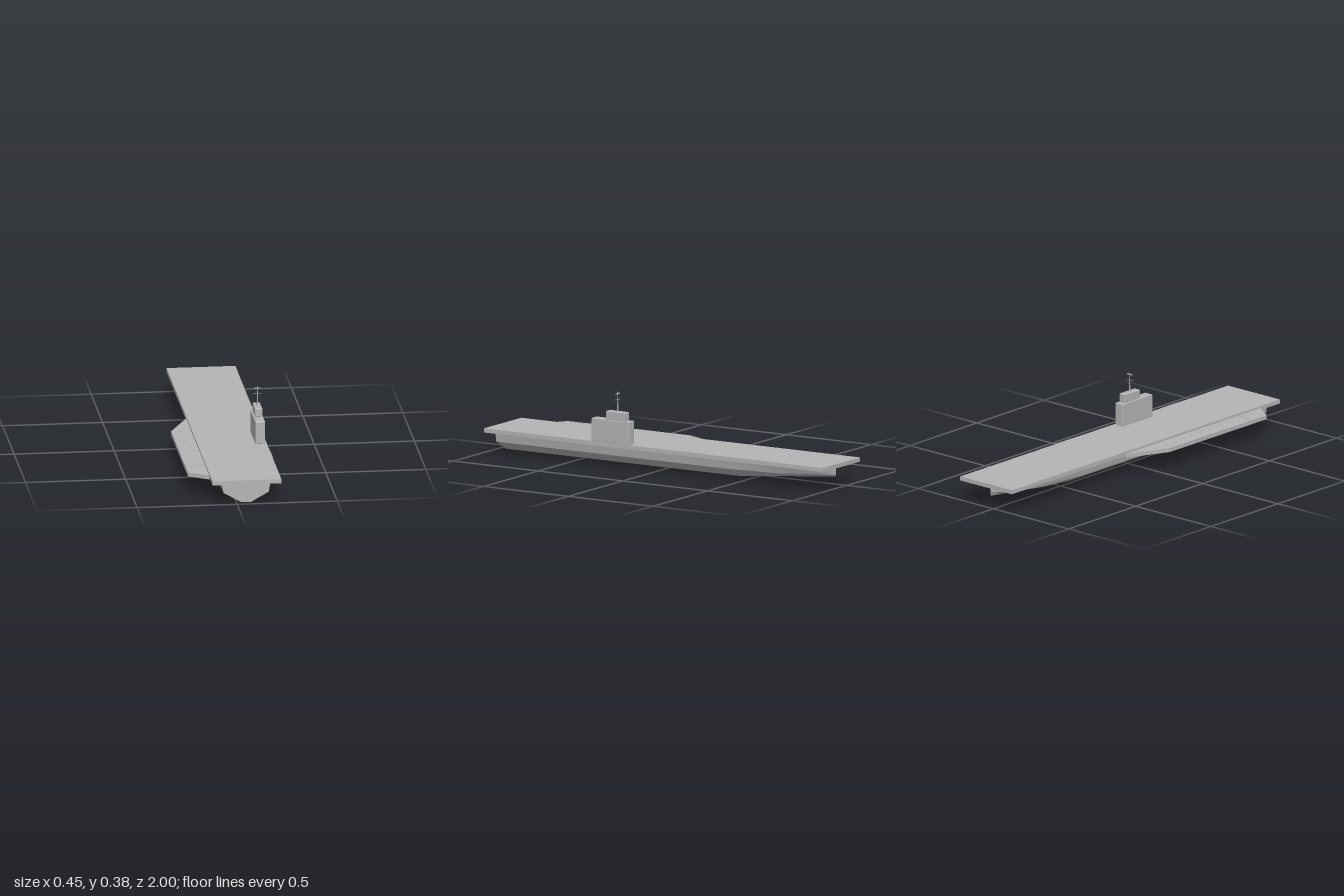
import * as THREE from 'three';
import { RoundedBoxGeometry } from 'three/addons/geometries/RoundedBoxGeometry.js';

const grey = new THREE.MeshStandardMaterial({ color: 0xb4b4b4 });
grey.name = 'navalGrey';

function add(group, name, geometry) {
  const mesh = new THREE.Mesh(geometry, grey);
  mesh.name = name;
  group.add(mesh);
  return mesh;
}

// Box given by its limits on each axis, optionally with rounded edges
function block(group, name, [x0, x1], [y0, y1], [z0, z1], radius = 0) {
  const size = [x1 - x0, y1 - y0, z1 - z0];
  const geometry = radius
    ? new RoundedBoxGeometry(...size, 2, radius)
    : new THREE.BoxGeometry(...size);
  const mesh = add(group, name, geometry);
  mesh.position.set((x0 + x1) / 2, (y0 + y1) / 2, (z0 + z1) / 2);
  return mesh;
}

// Hull lofted through stations; each panel has its own vertices so chines stay sharp
function hullGeometry() {
  const centre = 0.049, top = 0.101;
  // z, top half width, chine half width, chine height, keel half width, keel height
  const stations = [
    [0.965, 0.121, 0.113, 0.05, 0.025, 0],
    [0.6, 0.128, 0.118, 0.05, 0.025, 0],
    [-0.4, 0.128, 0.118, 0.05, 0.025, 0],
    [-0.7, 0.124, 0.105, 0.054, 0.02, 0.027],
    [-0.84, 0.095, 0.07, 0.06, 0.013, 0.039],
    [-0.965, 0.004, 0.003, 0.066, 0.002, 0.05],
  ];
  const sections = stations.map(([z, t, c, cy, k, ky]) =>
    [[-t, top], [-c, cy], [-k, ky], [k, ky], [c, cy], [t, top]]
      .map(([x, y]) => [centre + x, y, z]));
  const positions = [], index = [];
  const sides = sections[0].length;
  for (let i = 0; i < sides; i++) {
    const start = positions.length / 3;
    sections.forEach((s) => positions.push(...s[i], ...s[(i + 1) % sides]));
    for (let j = 0; j < sections.length - 1; j++) {
      const a = start + j * 2;
      index.push(a, a + 2, a + 1, a + 1, a + 2, a + 3);
    }
  }
  // Transom and stem caps
  [sections[0], sections[sections.length - 1]].forEach((s, end) => {
    const start = positions.length / 3;
    s.forEach((p) => positions.push(...p));
    for (let i = 1; i < sides - 1; i++) {
      index.push(start, start + i + (end ? 1 : 0), start + i + (end ? 0 : 1));
    }
  });
  const geometry = new THREE.BufferGeometry();
  geometry.setAttribute('position', new THREE.Float32BufferAttribute(positions, 3));
  geometry.setIndex(index);
  geometry.computeVertexNormals();
  return geometry;
}

export function createModel() {
  const model = new THREE.Group();
  model.name = 'aircraftCarrier';

  add(model, 'hull', hullGeometry());
  block(model, 'flightDeck', [-0.123, 0.221], [0.101, 0.122], [-1, 1]);

  // Angled landing deck outboard of the main deck
  const outline = new THREE.Shape(
    [[-0.123, -0.15], [-0.223, 0.065], [-0.223, 0.79], [-0.123, 0.855]]
      .map(([x, z]) => new THREE.Vector2(x, -z)));
  const angled = new THREE.ExtrudeGeometry(outline, { depth: 0.021, bevelEnabled: false });
  angled.rotateX(-Math.PI / 2);
  add(model, 'angledDeck', angled).position.y = 0.09;

  // Landing centre line dashes and arresting wire
  const dashes = 11, slope = 0.04 / 0.72;
  for (let i = 0; i < dashes; i++) {
    const t = i / (dashes - 1);
    const dash = add(model, 'centreLineDash', new THREE.BoxGeometry(0.004, 0.002, 0.036));
    dash.position.set(-0.179 + 0.04 * t, 0.1115, 0.018 + 0.705 * t);
    dash.rotation.y = Math.atan(slope);
  }
  block(model, 'arrestingWire', [-0.205, -0.123], [0.111, 0.1135], [0.684, 0.688]);

  // Deck edge lifts on the left side
  for (const z of [-0.225, 0.56]) {
    block(model, 'deckEdgeLift', [0.21, 0.2225], [0.117, 0.1228], [z - 0.062, z + 0.062]);
  }

  // Island and bridge
  block(model, 'island', [0.163, 0.212], [0.121, 0.237], [0.148, 0.372], 0.004);
  block(model, 'bridge', [0.171, 0.208], [0.236, 0.28], [0.174, 0.288], 0.004);

  // Mast with yard and radar bar
  const mast = new THREE.Group();
  mast.name = 'mast';
  mast.position.set(0.189, 0.279, 0.23);
  model.add(mast);
  add(mast, 'mastPole', new THREE.CylinderGeometry(0.002, 0.003, 0.1, 10)).position.y = 0.05;
  block(mast, 'yardArm', [-0.021, 0.021], [0.06, 0.062], [-0.001, 0.001]);
  block(mast, 'radarBar', [-0.016, 0.016], [0.088, 0.093], [-0.002, 0.002]);

  // Small deck fittings near opposite corners
  for (const [x, z] of [[-0.11, 0.912], [0.217, -0.89]]) {
    add(model, 'deckLamp', new THREE.SphereGeometry(0.004, 10, 8)).position.set(x, 0.121, z);
  }

  return model;
}
